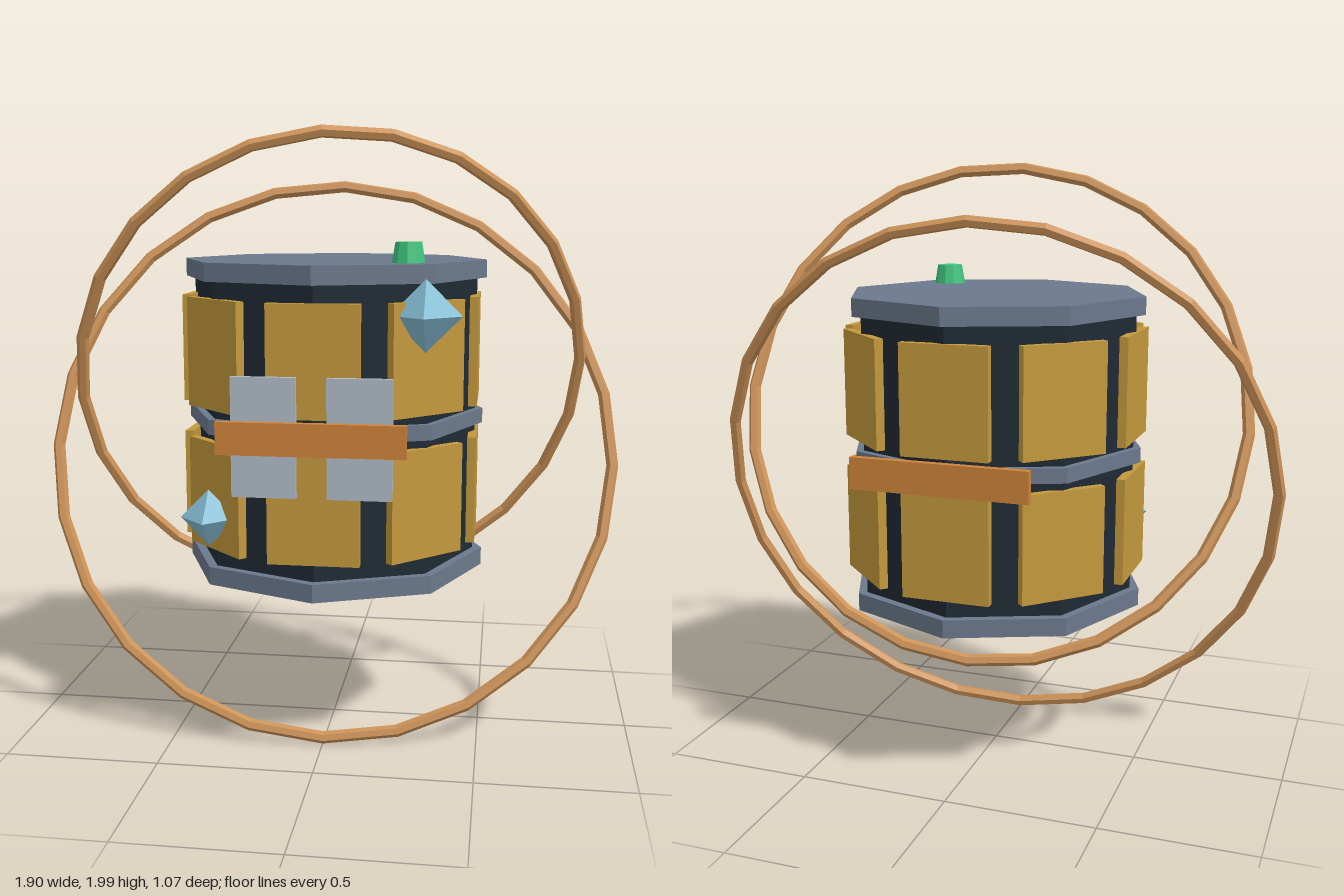
import * as THREE from 'three';

const paint = (name, color) => {
  const m = new THREE.MeshStandardMaterial({ color });
  m.name = name;
  return m;
};

export function createModel() {
  const group = new THREE.Group();
  const slate = paint('slate', 0x6b788c);
  const dark = paint('dark hull', 0x1f2a33);
  const gold = paint('gold panel', 0xc4993d);
  const copper = paint('copper ring', 0xcd9358);
  const orange = paint('orange bar', 0xcf843a);
  const silver = paint('silver plate', 0xb0bac6);
  const crystal = paint('pale blue crystal', 0x86bed4);
  const green = paint('green button', 0x3fc57d);
  const MID = 1.071; // height of the drum's middle

  // Faceted mesh helper
  const add = (name, geometry, material, x, y, z) => {
    const flat = geometry.index ? geometry.toNonIndexed() : geometry;
    flat.computeVertexNormals();
    const mesh = new THREE.Mesh(flat, material);
    mesh.name = name;
    mesh.position.set(x, y, z);
    group.add(mesh);
    return mesh;
  };

  // Octagonal drum with its end caps and waist band
  add('drumBody', new THREE.CylinderGeometry(0.47, 0.47, 0.98, 8), dark, 0, MID, 0);
  add('topCap', new THREE.CylinderGeometry(0.5, 0.5, 0.058, 8), slate, 0, MID + 0.482, 0);
  add('bottomCap', new THREE.CylinderGeometry(0.5, 0.5, 0.058, 8), slate, 0, MID - 0.482, 0);
  add('waistBand', new THREE.CylinderGeometry(0.495, 0.495, 0.048, 8), slate, 0, MID, 0);

  // Two rows of eight panels, one over each drum corner
  for (const row of [-1, 1]) {
    for (let i = 0; i < 8; i++) {
      const a = (i * Math.PI) / 4;
      const panel = add('wallPanel', new THREE.BoxGeometry(0.285, 0.348, 0.028), gold,
        Math.sin(a) * 0.465, MID + row * 0.225, Math.cos(a) * 0.465);
      panel.rotation.y = a;
    }
  }

  // Front plates, and a crossbar at front and back
  for (const s of [-1, 1]) {
    add('frontPlate', new THREE.BoxGeometry(0.197, 0.366, 0.02), silver, s * 0.145, MID, 0.5);
    add('crossbar', new THREE.BoxGeometry(0.573, 0.1, 0.024), orange, 0, MID, s * 0.523);
  }

  // Crystals
  add('upperCrystal', new THREE.OctahedronGeometry(0.11), crystal, 0.329, 1.43, 0.39);
  add('lowerCrystal', new THREE.OctahedronGeometry(0.091), crystal, -0.35, 0.783, 0.365);

  // Button on the lid
  add('button', new THREE.CylinderGeometry(0.042, 0.053, 0.066, 10), green, 0.266, 1.612, 0.266);

  // Two tilted orbit rings
  const ring = (name, radius, y, rx, ry) => {
    add(name, new THREE.TorusGeometry(radius, 0.02, 6, 24), copper, 0, y, 0).rotation.set(rx, ry, 0);
  };
  ring('innerRing', 0.835, 1.19, 0.35, 0.21);
  ring('outerRing', 0.938, 0.922, -0.3, 0.11);

  return group;
}
